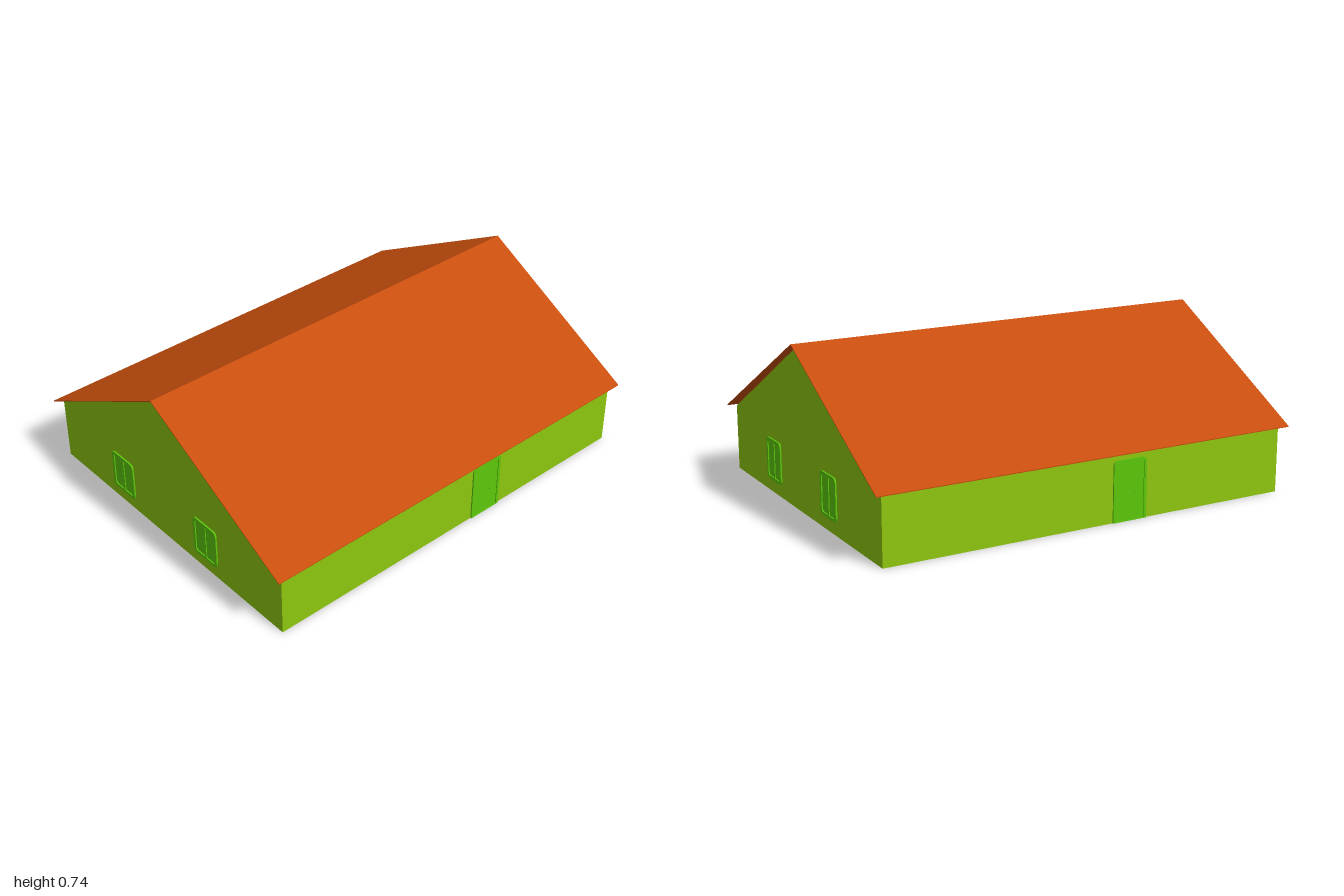
import * as THREE from 'three';

const wallMat = new THREE.MeshStandardMaterial({ color: 0x8ec80e, side: THREE.DoubleSide });
wallMat.name = 'limeWall';
const roofMat = new THREE.MeshStandardMaterial({ color: 0xc84e0e });
roofMat.name = 'terracottaRoof';
const joineryMat = new THREE.MeshStandardMaterial({ color: 0x5cc80a });
joineryMat.name = 'greenJoinery';

const HALF_X = 0.965, HALF_Z = 0.766, EAVE = 0.3, RIDGE = 0.732;

function add(parent, name, geometry, material, x = 0, y = 0, z = 0) {
  const mesh = new THREE.Mesh(geometry, material);
  mesh.name = name;
  mesh.position.set(x, y, z);
  parent.add(mesh);
  return mesh;
}

// Rectangle standing on y = 0 with rounded top corners and optionally rounded bottom corners
function panel(Type, w, y0, y1, top, bottom) {
  const s = new Type(), h = w / 2;
  s.moveTo(-h + bottom, y0);
  s.lineTo(h - bottom, y0);
  s.quadraticCurveTo(h, y0, h, y0 + bottom);
  s.lineTo(h, y1 - top);
  s.quadraticCurveTo(h, y1, h - top, y1);
  s.lineTo(-h + top, y1);
  s.quadraticCurveTo(-h, y1, -h, y1 - top);
  s.lineTo(-h, y0 + bottom);
  s.quadraticCurveTo(-h, y0, -h + bottom, y0);
  return s;
}

// Extrusion centred on the plane of the wall, so it shows inside and outside
function slab(shape, depth) {
  const g = new THREE.ExtrudeGeometry(shape, { depth, bevelEnabled: false, curveSegments: 5 });
  return g.translate(0, 0, -depth / 2);
}

function makeWindow() {
  const g = new THREE.Group();
  g.name = 'window';
  const w = 0.155, h = 0.19, t = 0.014;
  const frame = panel(THREE.Shape, w, 0, h, 0.024, 0.024);
  frame.holes.push(panel(THREE.Path, w - 2 * t, t, h - t, 0.012, 0.012));
  add(g, 'windowFrame', slab(frame, 0.014), joineryMat);
  add(g, 'windowPane', slab(panel(THREE.Shape, w - t, t / 2, h - t / 2, 0.018, 0.018), 0.004), joineryMat);
  add(g, 'windowMullion', new THREE.BoxGeometry(0.012, h - t, 0.012), joineryMat, 0, h / 2, 0);
  return g;
}

function makeDoor() {
  const g = new THREE.Group();
  g.name = 'door';
  const w = 0.165, h = 0.27, t = 0.013;
  const frame = panel(THREE.Shape, w, 0, h, 0.024, 0);
  frame.holes.push(panel(THREE.Path, w - 2 * t, 0.004, h - t, 0.012, 0));
  add(g, 'doorFrame', slab(frame, 0.012), joineryMat);
  add(g, 'doorLeaf', slab(panel(THREE.Shape, w - t, 0, h - t / 2, 0.018, 0), 0.005), joineryMat);
  // lever handle on both faces, joined by a spindle
  const spindle = new THREE.CylinderGeometry(0.004, 0.004, 0.022, 10).rotateX(Math.PI / 2);
  add(g, 'handleSpindle', spindle, joineryMat, 0.04, 0.12, 0);
  for (const side of [-1, 1])
    add(g, 'handleLever', new THREE.BoxGeometry(0.026, 0.006, 0.004), joineryMat, 0.031, 0.12, side * 0.01);
  return g;
}

// One long wall, one gable and one roof slope
function makeHalf() {
  const half = new THREE.Group();
  half.name = 'houseHalf';

  add(half, 'longWall', new THREE.PlaneGeometry(2 * HALF_X, EAVE), wallMat, 0, EAVE / 2, HALF_Z);

  const door = makeDoor();
  door.position.set(0.178, 0, HALF_Z);
  half.add(door);

  const gable = new THREE.Group();
  gable.name = 'gable';
  gable.rotation.y = Math.PI / 2;
  gable.position.x = HALF_X;
  const outline = new THREE.Shape([
    new THREE.Vector2(-HALF_Z, 0), new THREE.Vector2(HALF_Z, 0), new THREE.Vector2(HALF_Z, EAVE),
    new THREE.Vector2(0, RIDGE), new THREE.Vector2(-HALF_Z, EAVE),
  ]);
  add(gable, 'gableWall', new THREE.ShapeGeometry(outline), wallMat);
  for (const x of [-0.312, 0.273]) {
    const win = makeWindow();
    win.position.set(x, 0.058, 0);
    gable.add(win);
  }
  half.add(gable);

  // thin sloping sheet, drawn in section and extruded along the ridge
  const section = new THREE.Shape([
    new THREE.Vector2(0, 0.734), new THREE.Vector2(0, 0.738),
    new THREE.Vector2(-0.795, 0.303), new THREE.Vector2(-0.795, 0.299),
  ]);
  const slope = new THREE.ExtrudeGeometry(section, { depth: 2, bevelEnabled: false });
  slope.translate(0, 0, -1).rotateY(Math.PI / 2);
  add(half, 'roofSlope', slope, roofMat);
  return half;
}

export function createModel() {
  const house = new THREE.Group();
  house.name = 'house';
  // the house repeats itself after half a turn
  for (const turn of [0, Math.PI]) {
    const half = makeHalf();
    half.rotation.y = turn;
    house.add(half);
  }
  return house;
}
